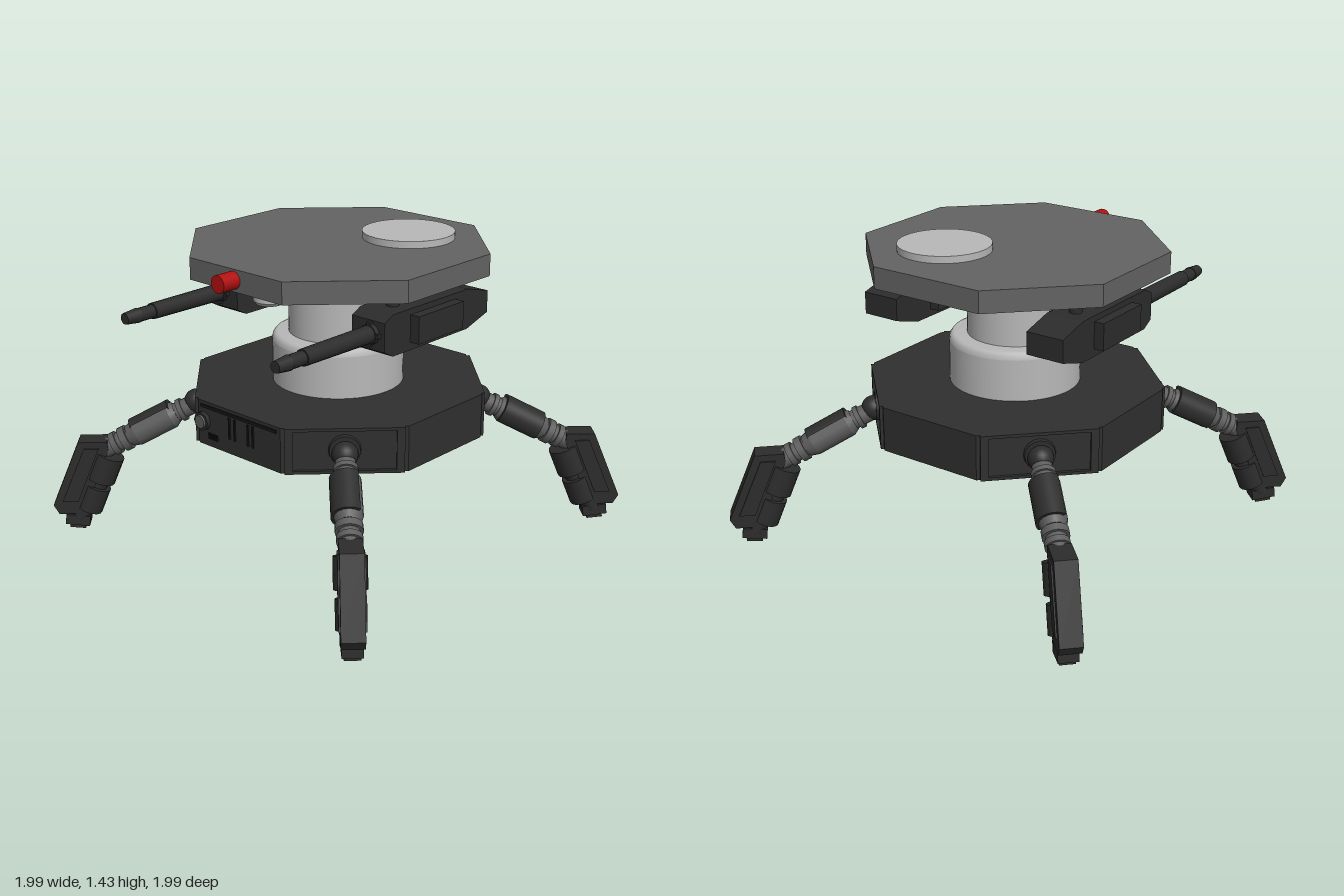
import * as THREE from 'three';

const mat = (name, color, side = THREE.FrontSide) => {
  const m = new THREE.MeshStandardMaterial({ color, side });
  m.name = name;
  return m;
};

export function createModel() {
  const plateGrey = mat('plate grey', 0x636363);
  const bodyDark = mat('body charcoal', 0x2f2f2f);
  const darkMetal = mat('dark metal', 0x2c2c2c, THREE.DoubleSide);
  const jointGrey = mat('joint grey', 0x5c5c5c);
  const lightGrey = mat('light grey', 0xb8b8b8);
  const slotBlack = mat('slot black', 0x161616);
  const red = mat('lamp red', 0xb01010);

  const model = new THREE.Group();
  model.name = 'walkingTurret';

  const add = (parent, name, geo, material, x = 0, y = 0, z = 0) => {
    const mesh = new THREE.Mesh(geo, material);
    mesh.name = name;
    mesh.position.set(x, y, z);
    parent.add(mesh);
    return mesh;
  };
  const box = (parent, name, m, w, h, d, x, y, z) =>
    add(parent, name, new THREE.BoxGeometry(w, h, d), m, x, y, z);
  const cyl = (parent, name, m, r0, r1, h, x, y, z, sides = 32) =>
    add(parent, name, new THREE.CylinderGeometry(r1, r0, h, sides), m, x, y, z);
  // Round bar between two points of a leg's side plane
  const rod = (parent, name, m, [ax, ay], [bx, by], r0, r1 = r0, arc = [0, Math.PI * 2], sides = 16) => {
    const geo = new THREE.CylinderGeometry(r1, r0, Math.hypot(bx - ax, by - ay), sides, 1, false, ...arc);
    const mesh = add(parent, name, geo, m, (ax + bx) / 2, (ay + by) / 2, 0);
    mesh.rotation.z = Math.atan2(by - ay, bx - ax) - Math.PI / 2;
    return mesh;
  };
  // Prism of a 2D outline, centred on its depth
  const prism = (points, depth) => {
    const shape = new THREE.Shape(points.map(([x, y]) => new THREE.Vector2(x, y)));
    return new THREE.ExtrudeGeometry(shape, { depth, bevelEnabled: false }).translate(0, 0, -depth / 2);
  };
  // Eight-sided slab; inset pulls the diagonal sides inward
  const octagon = (inset, height) => {
    const a = 0.647, b = 0.28 - inset;
    return prism([[a, b], [b, a], [-b, a], [-a, b], [-a, -b], [-b, -a], [b, -a], [a, -b]], height)
      .rotateX(-Math.PI / 2);
  };

  // Main hull with framed diagonal sides
  const hull = new THREE.Group();
  hull.name = 'hull';
  model.add(hull);
  add(hull, 'hullBlock', octagon(0.022, 0.21), bodyDark, 0, 0.645, 0);
  for (let i = 0; i < 4; i++) {
    const side = new THREE.Group();
    side.name = 'diagonalFrame';
    side.rotation.y = Math.PI / 4 + i * Math.PI / 2;
    hull.add(side);
    for (const s of [-1, 1]) {
      box(side, 'framePost', bodyDark, 0.04, 0.21, 0.035, 0.635, 0.645, s * 0.241);
      box(side, 'frameRail', bodyDark, 0.04, 0.014, 0.5, 0.635, 0.645 + s * 0.098, 0);
    }
  }

  // Front control panel
  const panel = new THREE.Group();
  panel.name = 'controlPanel';
  model.add(panel);
  box(panel, 'panelRail', slotBlack, 0.475, 0.014, 0.008, 0, 0.728, 0.65);
  for (const x of [-0.055, -0.022, 0.062, 0.092])
    box(panel, 'panelSlot', slotBlack, 0.009, 0.1, 0.008, x, 0.662, 0.65);
  for (let i = 0; i < 5; i++)
    box(panel, 'panelVent', slotBlack, 0.006, 0.028, 0.008, -0.188 + i * 0.013, 0.592, 0.65);
  cyl(panel, 'dialRim', darkMetal, 0.045, 0.045, 0.02, -0.225, 0.655, 0.656, 8).rotation.x = Math.PI / 2;
  cyl(panel, 'dialFace', jointGrey, 0.034, 0.03, 0.02, -0.225, 0.655, 0.665, 16).rotation.x = Math.PI / 2;

  // Central column: wide rounded base and narrower neck
  const lathe = (pts) => new THREE.LatheGeometry(pts.map(([x, y]) => new THREE.Vector2(x, y)), 48);
  add(model, 'columnBase', lathe([[0.305, 0.75], [0.305, 0.945]]), lightGrey);
  add(model, 'columnShoulder', lathe([[0.305, 0.945], [0.302, 0.962], [0.293, 0.975], [0.28, 0.98], [0.2, 0.982]]), lightGrey);
  cyl(model, 'columnNeck', lightGrey, 0.225, 0.225, 0.33, -0.005, 1.14, 0, 48);

  // Upper deck with hatch, lamp and sensor
  add(model, 'upperDeck', octagon(0, 0.1), plateGrey, 0, 1.35, 0);
  cyl(model, 'roofHatch', lightGrey, 0.213, 0.213, 0.034, 0.19, 1.415, -0.27, 48);
  cyl(model, 'frontLamp', red, 0.04, 0.04, 0.095, -0.005, 1.352, 0.692, 24).rotation.x = Math.PI / 2;
  cyl(model, 'sensorPod', lightGrey, 0.072, 0.072, 0.08, 0.01, 1.265, 0.45);
  cyl(model, 'sensorLens', lightGrey, 0.06, 0.072, 0.015, 0.01, 1.2175, 0.45);

  // Guns hung under the deck, one on each side
  const gunProfile = [[0.29, 1.06], [0.29, 1.19], [0.235, 1.217], [-0.28, 1.217],
    [-0.43, 1.178], [-0.43, 1.075], [-0.28, 1.03], [0.235, 1.03]];
  for (const s of [-1, 1]) {
    const gun = new THREE.Group();
    gun.name = s > 0 ? 'leftGun' : 'rightGun';
    gun.position.x = -0.01 + s * 0.448;
    model.add(gun);
    add(gun, 'gunBody', prism(gunProfile, 0.185).rotateY(-Math.PI / 2), darkMetal);
    box(gun, 'ammoBox', darkMetal, 0.28, 0.125, 0.31, 0, 1.128, -0.035);
    for (const z of [0.13, -0.03, -0.195])
      cyl(gun, 'hangerPost', darkMetal, 0.03, 0.03, 0.1, 0, 1.26, z, 16);
    const barrel = (name, r0, r1, z0, z1) => {
      cyl(gun, name, darkMetal, r0, r1, z1 - z0, s * 0.016, 1.13, (z0 + z1) / 2, 16).rotation.x = Math.PI / 2;
    };
    barrel('barrelCollar', 0.048, 0.045, 0.28, 0.31);
    barrel('barrelSleeve', 0.04, 0.037, 0.3, 0.71);
    barrel('barrelTube', 0.031, 0.031, 0.71, 0.79);
    barrel('muzzle', 0.034, 0.026, 0.79, 0.865);
    for (const [w, h] of [[0.11, 0.02], [0.02, 0.11]])
      box(gun, 'collarLug', darkMetal, w, h, 0.02, s * 0.016, 1.13, 0.298);
  }

  // Four identical legs; each is built pointing along +x
  const shinProfile = [[1.09, 0.452], [1.085, 0.41], [1.13, 0.3], [1.215, 0.085],
    [1.335, 0.085], [1.36, 0.13], [1.225, 0.452]];
  const sidePlate = [[1.13, 0.42], [1.2, 0.42], [1.315, 0.15], [1.24, 0.15]];
  const legNames = ['frontLeftLeg', 'backLeftLeg', 'backRightLeg', 'frontRightLeg'];
  legNames.forEach((name, i) => {
    const leg = new THREE.Group();
    leg.name = name;
    leg.rotation.y = -Math.PI / 4 + i * Math.PI / 2;
    model.add(leg);
    // Hip
    rod(leg, 'hipDisc', darkMetal, [0.62, 0.645], [0.658, 0.645], 0.075, 0.068);
    add(leg, 'hipBall', new THREE.SphereGeometry(0.058, 20, 14), darkMetal, 0.665, 0.635, 0);
    rod(leg, 'hipNeck', jointGrey, [0.67, 0.625], [0.78, 0.57], 0.045);
    rod(leg, 'hipRing', jointGrey, [0.725, 0.597], [0.745, 0.587], 0.055);
    // Thigh with an armour shell on the upper side
    rod(leg, 'thighTop', jointGrey, [0.76, 0.58], [0.785, 0.567], 0.048, 0.064);
    rod(leg, 'thigh', jointGrey, [0.785, 0.567], [0.95, 0.481], 0.064);
    rod(leg, 'thighShell', darkMetal, [0.775, 0.572], [0.955, 0.478], 0.074, 0.074,
      [Math.PI * 1.27, Math.PI * 0.96]);
    rod(leg, 'thighEnd', jointGrey, [0.95, 0.481], [0.985, 0.463], 0.064, 0.052);
    rod(leg, 'kneeRing', jointGrey, [0.99, 0.46], [1.02, 0.444], 0.06);
    rod(leg, 'kneeNeck', jointGrey, [0.97, 0.47], [1.13, 0.387], 0.046);
    rod(leg, 'kneeRing', jointGrey, [1.04, 0.434], [1.065, 0.421], 0.056);
    // Shin
    add(leg, 'shinSlab', prism(shinProfile, 0.1), darkMetal);
    add(leg, 'shinSidePlate', prism(sidePlate, 0.114), darkMetal);
    rod(leg, 'upperDrum', darkMetal, [1.085, 0.372], [1.137, 0.245], 0.072);
    rod(leg, 'drumNeck', darkMetal, [1.13, 0.26], [1.16, 0.19], 0.045);
    rod(leg, 'lowerDrum', darkMetal, [1.152, 0.213], [1.2, 0.095], 0.066);
    // Foot
    rod(leg, 'ankle', darkMetal, [1.215, 0.12], [1.245, 0.05], 0.05);
    box(leg, 'foot', darkMetal, 0.115, 0.05, 0.09, 1.25, 0.047, 0).rotation.z = 0.12;
    box(leg, 'footPad', darkMetal, 0.075, 0.035, 0.07, 1.252, 0.0215, 0).rotation.z = 0.1;
  });

  return model;
}
